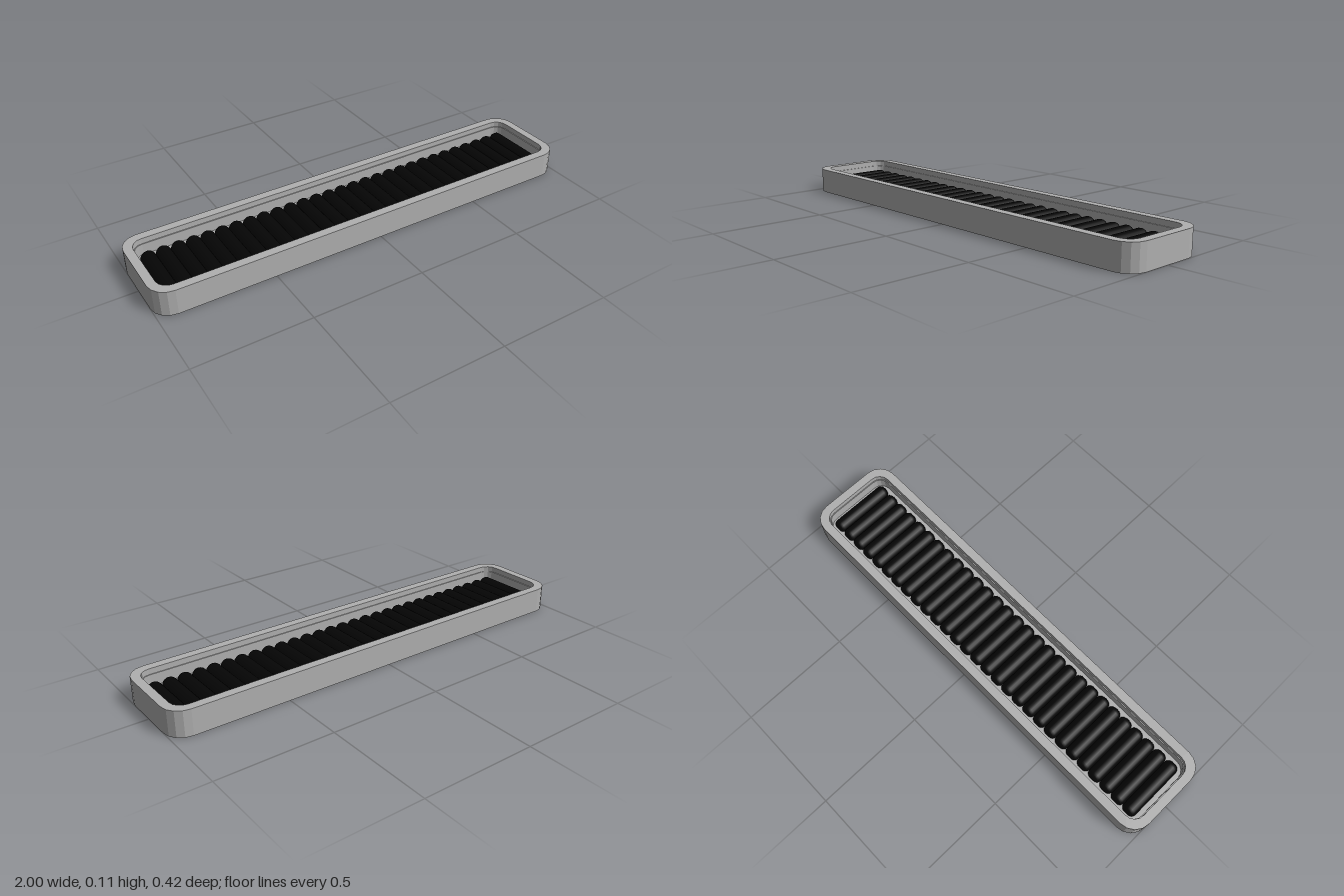
import * as THREE from 'three';

const grey = new THREE.MeshStandardMaterial({ color: 0xb0b0b0 });
const black = new THREE.MeshStandardMaterial({ color: 0x050505 });

// Rounded rectangle given by half width, half depth and corner radius
function outline(w, d, r, Type = THREE.Shape) {
  const s = new Type();
  s.moveTo(-w + r, -d);
  s.lineTo(w - r, -d);
  s.absarc(w - r, -d + r, r, -Math.PI / 2, 0);
  s.lineTo(w, d - r);
  s.absarc(w - r, d - r, r, 0, Math.PI / 2);
  s.lineTo(-w + r, d);
  s.absarc(-w + r, d - r, r, Math.PI / 2, Math.PI);
  s.lineTo(-w, -d + r);
  s.absarc(-w + r, -d + r, r, Math.PI, Math.PI * 1.5);
  return s;
}

const outer = [1, 0.208, 0.082];
const segments = 2; // per eighth turn, so four facets round each corner

function add(parent, name, geometry, material) {
  const mesh = new THREE.Mesh(geometry, material);
  mesh.name = name;
  parent.add(mesh);
  return mesh;
}

// One ring of the frame, from y0 to y1
function ring(parent, name, y0, y1, hole) {
  const shape = outline(...outer);
  shape.holes.push(outline(...hole, THREE.Path));
  const g = new THREE.ExtrudeGeometry(shape, { depth: y1 - y0, bevelEnabled: false, curveSegments: segments });
  g.rotateX(-Math.PI / 2).translate(0, y0, 0);
  add(parent, name, g, grey);
}

export function createModel() {
  const model = new THREE.Group();
  model.name = 'rollerTray';

  // Frame with a fine step inside, below the rim
  const wide = [0.962, 0.169, 0.052];
  const narrow = [0.958, 0.165, 0.048];
  ring(model, 'upperRim', 0.088, 0.113, wide);
  ring(model, 'lowerFrame', 0, 0.088, narrow);

  // Floor inside and dark underside
  const floor = new THREE.ShapeGeometry(outline(...narrow), segments);
  floor.rotateX(-Math.PI / 2).translate(0, 0.038, 0);
  add(model, 'floor', floor, grey);
  const underside = new THREE.ShapeGeometry(outline(...outer), segments);
  underside.rotateX(Math.PI / 2).translate(0, -0.0005, 0);
  add(model, 'underside', underside, black);

  // Row of rollers with rounded ends
  const count = 29, half = 0.146, pitch = 1.882 / count;
  const r = pitch / 2, round = 0.022;
  const profile = [new THREE.Vector2(0, -half)];
  for (const end of [-1, 1]) {
    for (let i = 0; i < 6; i++) {
      const a = (end < 0 ? i : 5 - i) / 5 * Math.PI / 2;
      profile.push(new THREE.Vector2(r - round + round * Math.sin(a), end * (half - round + round * Math.cos(a))));
    }
  }
  profile.push(new THREE.Vector2(0, half));
  const rollerGeometry = new THREE.LatheGeometry(profile, 20).rotateX(Math.PI / 2);
  const rollers = new THREE.Group();
  rollers.name = 'rollers';
  rollers.position.set(0.003, 0.042, 0);
  for (let i = 0; i < count; i++) {
    add(rollers, 'roller', rollerGeometry, black).position.x = (i - (count - 1) / 2) * pitch;
  }
  model.add(rollers);
  return model;
}
